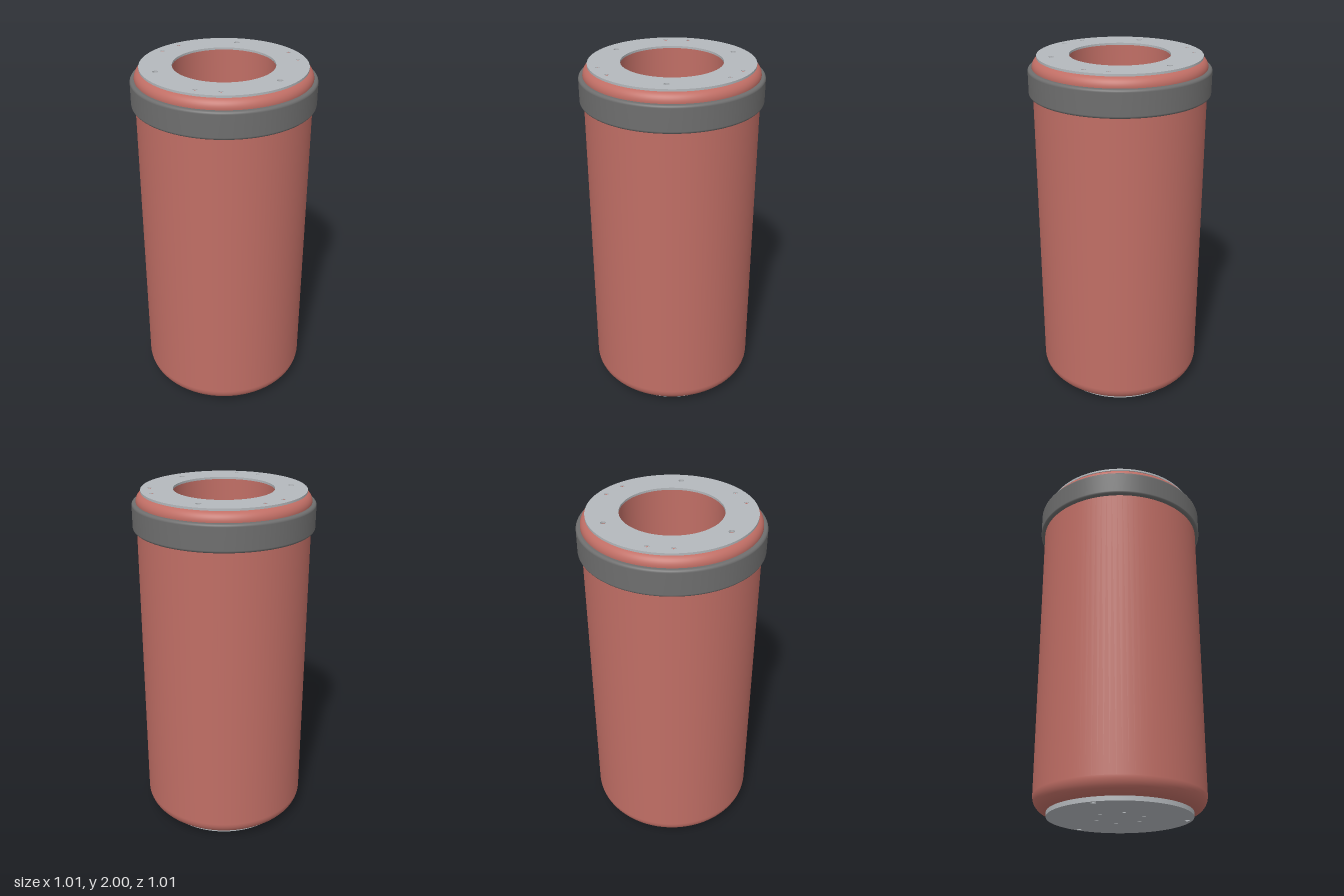
import * as THREE from 'three';
import { toCreasedNormals } from 'three/addons/utils/BufferGeometryUtils.js';

const SEG = 96;
const TOP = 1.988, BASE = 0.025, FLOOR = 0.1, BORE = 0.277;

const paint = (name, color) => {
  const m = new THREE.MeshStandardMaterial({ color });
  m.name = name;
  return m;
};

// Points [x, z] evenly spaced on a circle, angle measured from +z
const ringOf = (count, radius, start = 0) =>
  Array.from({ length: count }, (_, i) => {
    const a = start + (i * Math.PI * 2) / count;
    return [Math.sin(a) * radius, Math.cos(a) * radius];
  });

// Quarter-round profile between two angles
const arc = (cx, cy, r, from, to, n = 10) =>
  Array.from({ length: n + 1 }, (_, i) => {
    const a = from + ((to - from) * i) / n;
    return new THREE.Vector2(cx + Math.cos(a) * r, cy + Math.sin(a) * r);
  });

// Disc outline with round holes [x, y, radius]
function disc(radius, holes) {
  const shape = new THREE.Shape().absarc(0, 0, radius, 0, Math.PI * 2, false);
  for (const [x, y, r] of holes)
    shape.holes.push(new THREE.Path().absarc(x, y, r, 0, Math.PI * 2, true));
  return shape;
}

// Horizontal plate with vertical holes [x, z, radius]
function plate(radius, holes, y, height) {
  const shape = disc(radius, holes.map(([x, z, r]) => [x, -z, r]));
  const g = new THREE.ExtrudeGeometry(shape, { depth: height, bevelEnabled: false, curveSegments: 48 });
  g.rotateX(-Math.PI / 2).translate(0, y, 0);
  return toCreasedNormals(g, 0.6);
}

// Inward-facing wall of a vertical hole
const holeWall = (r, y0, y1, seg) =>
  new THREE.LatheGeometry([new THREE.Vector2(r, y1), new THREE.Vector2(r, y0)], seg);

export function createModel() {
  const model = new THREE.Group();
  const red = paint('red body', 0xc06e65);
  const metal = paint('light metal', 0xb4b8bc);
  const dark = paint('dark collar', 0x6e6e6e);
  const add = (name, geometry, material, x = 0, y = 0, z = 0) => {
    const mesh = new THREE.Mesh(geometry, material);
    mesh.name = name;
    mesh.position.set(x, y, z);
    model.add(mesh);
    return mesh;
  };

  const through = ringOf(3, 0.375).map(p => [...p, 0.0155].slice(0, 3));
  // A turn of 120 degrees from +z lands on the two rear holes
  const screwSpots = [Math.PI, Math.PI / 3, -Math.PI / 3].flatMap(a =>
    [-0.162, 0.162].map(d => [Math.sin(a + d) * 0.403, Math.cos(a + d) * 0.403, 0.0118]));

  // Body shell with rounded lower and upper edges
  add('bodyShell', new THREE.LatheGeometry([
    ...arc(0.395, BASE + 0.085, 0.085, -Math.PI / 2, 0),
    ...arc(0.43, TOP - 0.05, 0.05, 0, Math.PI / 2),
  ], SEG), red);
  const bodyTop = new THREE.ShapeGeometry(
    disc(0.43, [[0, 0, BORE], ...through.map(([x, z, r]) => [x, -z, r])]), 48);
  add('bodyTop', bodyTop.rotateX(-Math.PI / 2), red, 0, TOP, 0);
  const bodyBottom = new THREE.ShapeGeometry(disc(0.395, through), 48);
  add('bodyBottom', bodyBottom.rotateX(Math.PI / 2), red, 0, BASE, 0);

  // Central bore
  add('boreWall', holeWall(BORE, FLOOR, TOP, SEG), red);
  add('boreFloor', new THREE.CircleGeometry(BORE, SEG).rotateX(-Math.PI / 2), red, 0, FLOOR, 0);

  // Three channels running the full height
  for (const [x, z, r] of through)
    add('throughChannel', holeWall(r, BASE, TOP, 24), red, x, 0, z);

  // Dark collar around the upper body
  const b = 0.015, R = 0.503;
  add('collar', new THREE.LatheGeometry([
    new THREE.Vector2(0.47, 1.785),
    ...arc(R - b, 1.785 + b, b, -Math.PI / 2, 0, 8),
    ...arc(R - b, 1.935 - b, b, 0, Math.PI / 2, 8),
    new THREE.Vector2(0.47, 1.935),
  ], SEG), dark);

  // Flange on top and closing plate underneath
  add('topFlange', plate(0.453, [[0, 0, BORE], ...through, ...screwSpots], TOP, 2 - TOP), metal);
  const baseHoles = ringOf(6, 0.138, Math.PI / 6).map(p => [...p, 0.011]);
  add('basePlate', plate(0.403, [...through, ...baseHoles], 0, BASE), metal);

  // Cross-slotted screws set just below the flange face
  const head = new THREE.CylinderGeometry(0.0105, 0.0105, 0.01, 20);
  const slot = new THREE.BoxGeometry(0.014, 0.001, 0.0025);
  for (const [x, z] of screwSpots) {
    add('screwHead', head, metal, x, TOP + 0.004, z);
    add('screwSlot', slot, red, x, TOP + 0.009, z);
    add('screwSlot', slot, red, x, TOP + 0.009, z).rotation.y = Math.PI / 2;
  }

  return model;
}
